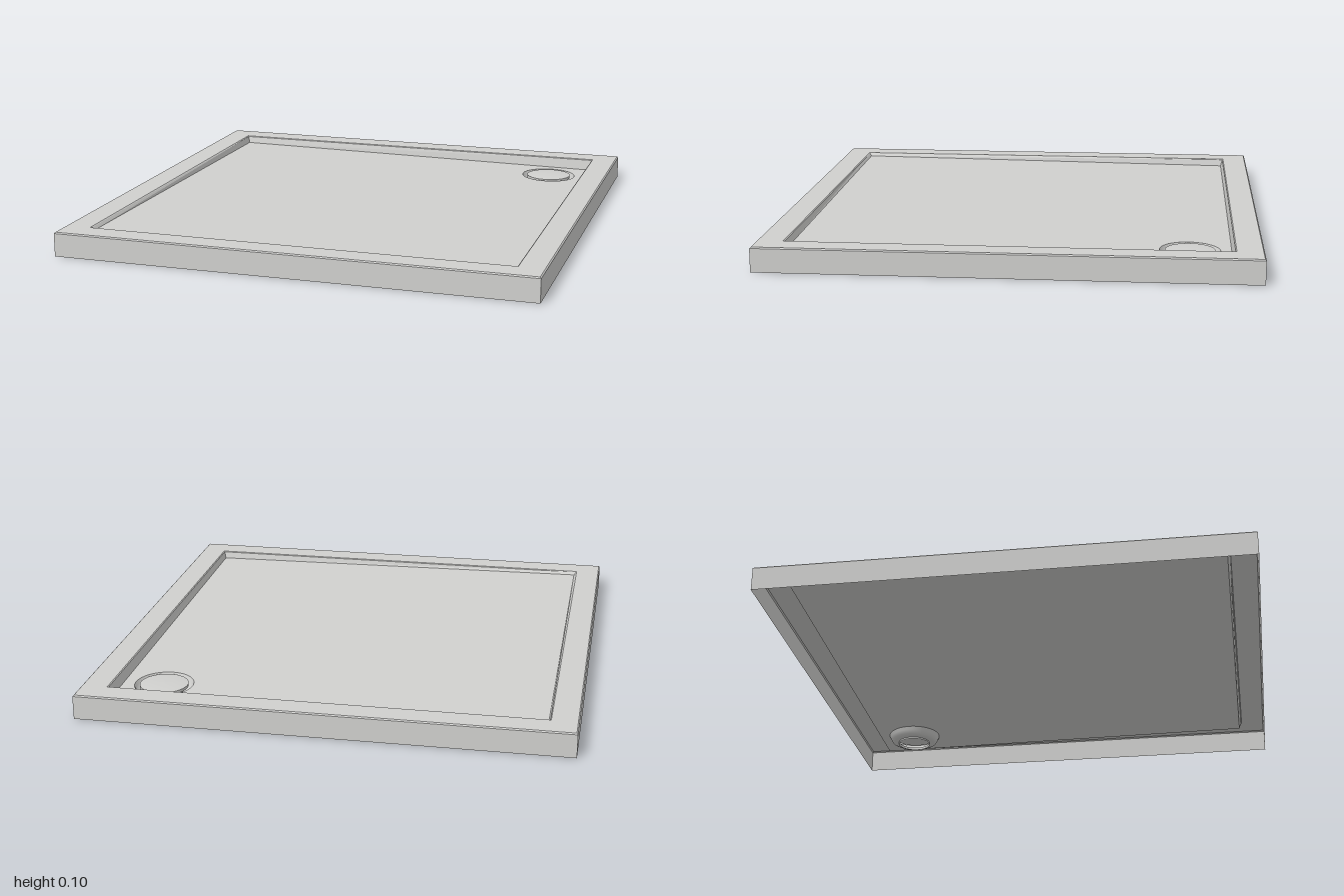
import * as THREE from 'three';

const HEIGHT = 0.102;
const DRAIN = { x: 0.71, z: -0.715, r: 0.122 };

// Floor falls gently towards the drain corner (+x, -z)
const floorY = (x, z) => 0.07 + 0.01 * (z - x);

// Skin through a series of square loops; each loop is [halfSize, height or height rule]
function squareLoft(loops) {
  const corners = [[-1, 1], [1, 1], [1, -1], [-1, -1]];
  const point = ([h, y], i) => {
    const x = corners[i % 4][0] * h, z = corners[i % 4][1] * h;
    return [x, typeof y === 'function' ? y(x, z) : y, z];
  };
  const pos = [];
  for (let k = 0; k < loops.length - 1; k++) {
    for (let i = 0; i < 4; i++) {
      const a = point(loops[k], i), b = point(loops[k], i + 1);
      const c = point(loops[k + 1], i + 1), d = point(loops[k + 1], i);
      pos.push(...a, ...b, ...c, ...a, ...c, ...d);
    }
  }
  const geo = new THREE.BufferGeometry();
  geo.setAttribute('position', new THREE.Float32BufferAttribute(pos, 3));
  geo.computeVertexNormals();
  return geo;
}

export function createModel() {
  const group = new THREE.Group();
  const enamel = new THREE.MeshStandardMaterial({ color: 0xd0d0ce, side: THREE.DoubleSide });
  enamel.name = 'light grey enamel';

  const add = (name, geo, x = 0, y = 0, z = 0) => {
    const mesh = new THREE.Mesh(geo, enamel);
    mesh.name = name;
    mesh.position.set(x, y, z);
    group.add(mesh);
    return mesh;
  };

  // Outer skirt, flat rim and inner step, open underneath
  add('rim', squareLoft([
    [1, 0], [1, HEIGHT - 0.005], [0.995, HEIGHT],
    [0.892, HEIGHT], [0.888, HEIGHT - 0.003], [0.88, floorY],
  ]));

  // Sloping floor with a round opening for the drain
  const s = 0.88;
  const outline = new THREE.Shape([[-s, -s], [s, -s], [s, s], [-s, s]].map(p => new THREE.Vector2(...p)));
  const hole = new THREE.Path();
  hole.absarc(DRAIN.x, -DRAIN.z, DRAIN.r, 0, Math.PI * 2, true);
  outline.holes.push(hole);
  const floor = new THREE.ShapeGeometry(outline, 24);
  floor.rotateX(-Math.PI / 2);
  const p = floor.attributes.position;
  for (let i = 0; i < p.count; i++) p.setY(i, floorY(p.getX(i), p.getZ(i)));
  floor.computeVertexNormals();
  add('floor', floor);

  const lathe = pts => new THREE.LatheGeometry(pts.map(q => new THREE.Vector2(...q)), 48);
  const y0 = floorY(DRAIN.x, DRAIN.z);

  // Rounded recess around the drain, its top edge following the floor slope
  const dish = lathe([[0.075, 0.02], [0.095, 0.02], [0.108, 0.026], [0.116, 0.042], [DRAIN.r, y0]]);
  const d = dish.attributes.position;
  for (let i = 0; i < d.count; i++) {
    if (d.getY(i) > 0.05) d.setY(i, floorY(DRAIN.x + d.getX(i), DRAIN.z + d.getZ(i)));
  }
  dish.computeVertexNormals();
  add('drainRecess', dish, DRAIN.x, 0, DRAIN.z);

  // Short outlet collar below the recess
  add('drainCollar', new THREE.CylinderGeometry(0.075, 0.075, 0.012, 48, 1, true), DRAIN.x, 0.018, DRAIN.z);

  // Round, slightly domed drain cover
  add('drainCover', new THREE.CylinderGeometry(0.1, 0.1, 0.012, 48), DRAIN.x, y0 - 0.004, DRAIN.z);
  add('drainCoverDome', lathe([[0.1, 0], [0.07, 0.003], [0.035, 0.0045], [0, 0.005]]), DRAIN.x, y0 + 0.002, DRAIN.z);

  return group;
}
